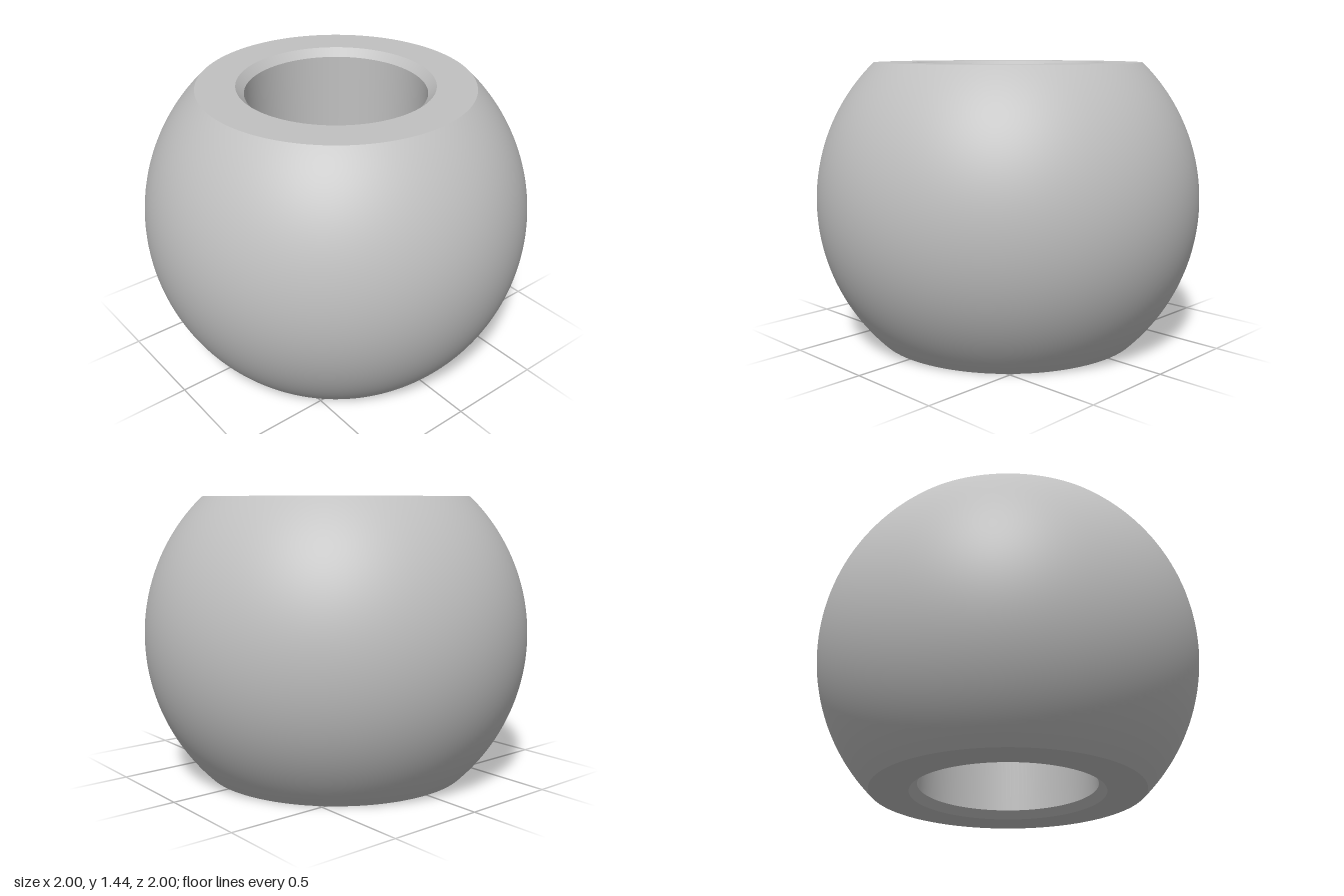
import * as THREE from 'three';

const HEIGHT = 1.44;      // distance between the two flat ends
const BORE = 0.455;       // radius of the through hole
const CHAMFER = 0.04;     // bevel at each mouth of the hole
const SEGMENTS = 128;

export function createModel() {
  const model = new THREE.Group();
  model.name = 'boredBall';
  const metal = new THREE.MeshStandardMaterial({ color: 0xc0c0c0 });
  metal.name = 'grey metal';

  const add = (name, geometry, y = 0) => {
    const mesh = new THREE.Mesh(geometry, metal);
    mesh.name = name;
    mesh.position.y = y;
    model.add(mesh);
  };
  // Straight band turned about y; each band is separate so its edges stay sharp
  const band = (name, r0, y0, r1, y1) => add(name, new THREE.LatheGeometry(
    [new THREE.Vector2(r0, y0), new THREE.Vector2(r1, y1)], SEGMENTS));

  // Unit ball cut flat at both ends
  const half = HEIGHT / 2;
  const cut = Math.acos(half);
  const rim = Math.sin(cut);
  add('ballSurface', new THREE.SphereGeometry(
    1, SEGMENTS, 64, 0, Math.PI * 2, cut, Math.PI - 2 * cut), half);

  // Flat ends, bevelled mouths and bore
  const mouth = BORE + CHAMFER;
  band('topFace', rim, HEIGHT, mouth, HEIGHT);
  band('topChamfer', mouth, HEIGHT, BORE, HEIGHT - CHAMFER);
  band('bore', BORE, HEIGHT - CHAMFER, BORE, CHAMFER);
  band('bottomChamfer', BORE, CHAMFER, mouth, 0);
  band('bottomFace', mouth, 0, rim, 0);

  return model;
}
